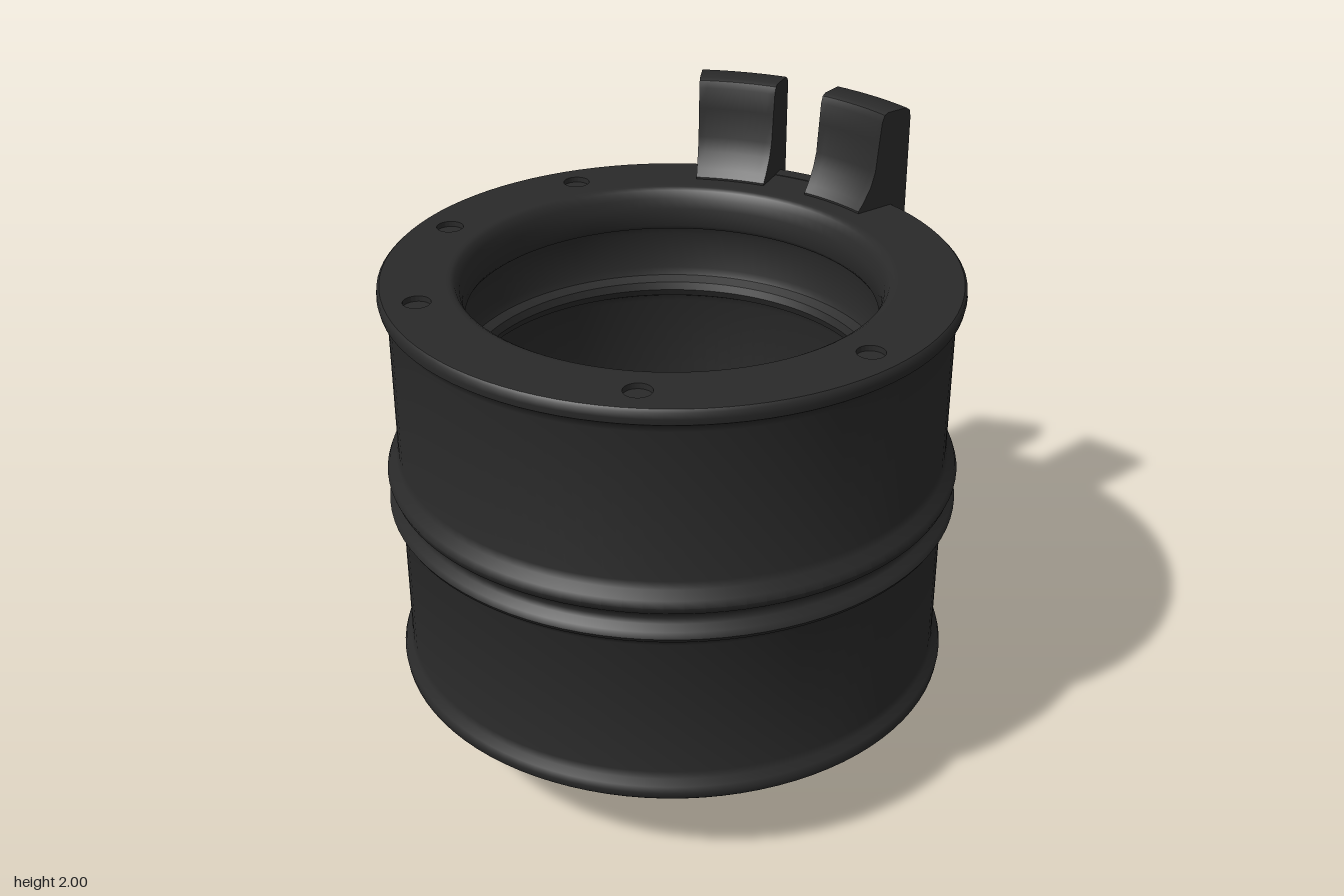
import * as THREE from 'three';
import { toCreasedNormals } from 'three/addons/utils/BufferGeometryUtils.js';

const CZ = 0.023; // the ring's axis sits slightly forward of the origin

// Sweeps an (r, y) profile around the axis between two angles in degrees, 0 = back, positive = +x
function arcPiece(points, fromDeg, toDeg) {
  const shape = new THREE.Shape(points.map(([r, y]) => new THREE.Vector2(r, y)));
  const geo = new THREE.ExtrudeGeometry(shape, { depth: 1, steps: 10, bevelEnabled: false });
  const pos = geo.attributes.position;
  for (let i = 0; i < pos.count; i++) {
    const r = pos.getX(i);
    const a = THREE.MathUtils.degToRad(THREE.MathUtils.lerp(fromDeg, toDeg, pos.getZ(i)));
    pos.setXYZ(i, r * Math.sin(a), pos.getY(i), -r * Math.cos(a));
  }
  return toCreasedNormals(geo, 0.6);
}

export function createModel() {
  const group = new THREE.Group();
  const rubber = new THREE.MeshStandardMaterial({ color: 0x2a2a2a });
  rubber.name = 'black rubber';

  const add = (geo, name) => {
    const mesh = new THREE.Mesh(geo, rubber);
    mesh.name = name;
    mesh.position.z = CZ;
    group.add(mesh);
    return mesh;
  };

  // Sleeve: closed section running under the base, up the outside, over the top,
  // down the ribbed cavity wall, across the cavity floor and through the bottom hole
  const section = [
    [0.45, 0.297], [0.91, 0.297], [0.921, 0.307], [0.924, 0.328], [0.918, 0.348], [0.9, 0.365], [0.895, 0.39],
    [0.895, 0.865], [0.902, 0.88], [0.926, 0.898], [0.934, 0.912], [0.926, 0.932], [0.905, 0.948],
    [0.9, 0.965], [0.905, 0.982], [0.926, 0.998], [0.934, 1.02], [0.926, 1.042], [0.902, 1.065], [0.895, 1.09],
    [0.895, 1.585], [0.9, 1.605], [0.92, 1.62], [0.924, 1.64], [0.922, 1.66], [0.914, 1.668],
    [0.9, 1.668], [0.9, 1.65], [0.71, 1.65], [0.71, 1.668],
    [0.695, 1.668], [0.682, 1.66], [0.668, 1.635], [0.66, 1.6], [0.655, 1.54], [0.665, 1.525], [0.695, 1.515],
    [0.705, 1.49], [0.705, 1.36], [0.695, 1.335], [0.665, 1.32], [0.655, 1.295], [0.665, 1.27], [0.695, 1.255],
    [0.705, 1.23], [0.705, 0.45], [0.69, 0.415], [0.66, 0.4], [0.475, 0.4], [0.457, 0.393], [0.45, 0.375], [0.45, 0.297],
  ].map(([r, y]) => new THREE.Vector2(r, y));
  add(toCreasedNormals(new THREE.LatheGeometry(section, 96), 0.7), 'sleeve');

  // Top plate with shallow round recesses
  const plate = new THREE.Shape().absarc(0, 0, 0.9, 0, Math.PI * 2);
  plate.holes.push(new THREE.Path().absarc(0, 0, 0.71, 0, Math.PI * 2, true));
  for (const deg of [24.5, 76.5, 143, 185, 225.5]) {
    const a = -THREE.MathUtils.degToRad(deg);
    plate.holes.push(new THREE.Path().absarc(0.81 * Math.cos(a), 0.81 * Math.sin(a), 0.044, 0, Math.PI * 2, true));
  }
  const plateGeo = new THREE.ExtrudeGeometry(plate, { depth: 0.018, bevelEnabled: false, curveSegments: 48 });
  plateGeo.rotateX(-Math.PI / 2);
  add(toCreasedNormals(plateGeo, 0.6), 'topPlate').position.y = 1.65;

  // Upper lugs: hooked inner face, rounded top, tapered foot
  const upperLug = [
    [0.88, 1.38], [0.945, 1.38], [0.958, 1.39], [0.964, 1.41], [0.975, 1.52], [0.98, 1.64],
    [0.98, 1.965], [0.975, 1.99], [0.96, 2], [0.88, 2], [0.865, 1.993], [0.856, 1.97],
    [0.848, 1.9], [0.837, 1.8], [0.82, 1.75], [0.79, 1.7], [0.77, 1.675], [0.77, 1.66], [0.88, 1.66],
  ];
  add(arcPiece(upperLug, -13.9, 4), 'upperLugRight');
  add(arcPiece(upperLug, 15.8, 33.8), 'upperLugLeft');

  // Small web joining the two upper lugs at the rim
  add(arcPiece([[0.88, 1.61], [0.932, 1.61], [0.94, 1.62], [0.94, 1.66], [0.932, 1.67], [0.88, 1.67]], 3.5, 16.2), 'lugBridge');

  // Lower lug
  const lowerLug = [
    [0.87, 0], [0.95, 0], [0.972, 0.01], [0.98, 0.035], [0.98, 0.55], [0.972, 0.577],
    [0.95, 0.588], [0.895, 0.588], [0.88, 0.56], [0.858, 0.3], [0.858, 0.02],
  ];
  add(arcPiece(lowerLug, -1, 21), 'lowerLug');

  return group;
}
